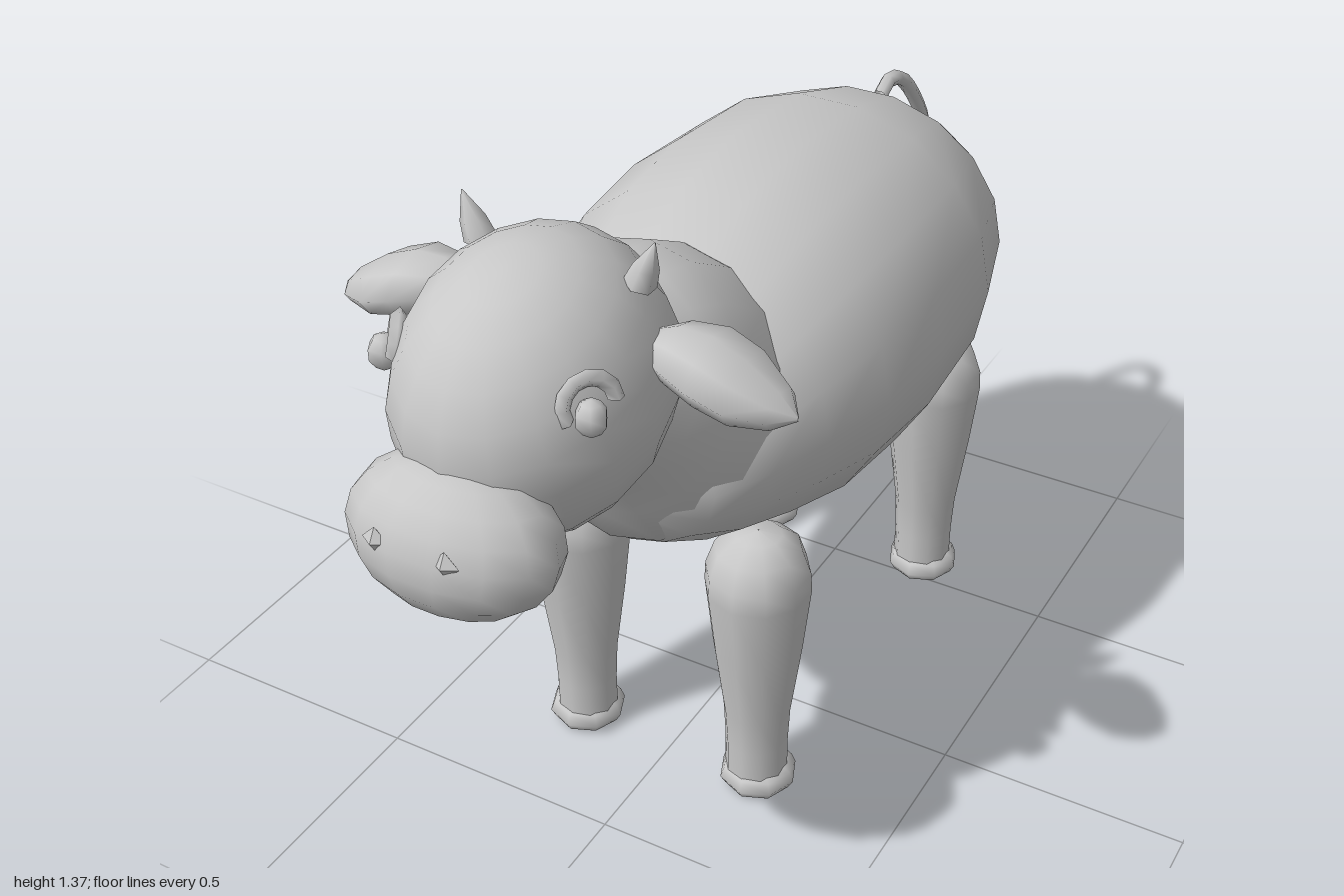
import * as THREE from 'three';

const hide = new THREE.MeshStandardMaterial({ color: 0xc8c8c8, side: THREE.DoubleSide });
hide.name = 'grey hide';

// Skin over elliptical rings [z, y, halfWidth, halfHeight, tilt], listed from back to front
function loft(rings, sides) {
  const pos = [], idx = [];
  rings.forEach(([z, y, rx, ry, tilt = 0], i) => {
    for (let j = 0; j < sides; j++) {
      const a = (j / sides) * Math.PI * 2, h = Math.sin(a) * ry;
      pos.push(Math.cos(a) * rx, y + h * Math.cos(tilt), z - h * Math.sin(tilt));
      if (i < rings.length - 1) {
        const k = (j + 1) % sides, p = i * sides, q = p + sides;
        idx.push(p + j, p + k, q + j, p + k, q + k, q + j);
      }
    }
  });
  const g = new THREE.BufferGeometry();
  g.setAttribute('position', new THREE.Float32BufferAttribute(pos, 3));
  g.setIndex(idx);
  g.computeVertexNormals();
  return g;
}

const ball = (rx, ry, rz, w = 14, h = 10) => new THREE.SphereGeometry(1, w, h).scale(rx, ry, rz);
const turned = (points, sides) =>
  new THREE.LatheGeometry(points.map(([r, y]) => new THREE.Vector2(r, y)), sides);

export function createModel() {
  const cow = new THREE.Group();
  cow.name = 'cow';
  const add = (name, geometry, x = 0, y = 0, z = 0) => {
    const m = new THREE.Mesh(geometry, hide);
    m.name = name;
    m.position.set(x, y, z);
    cow.add(m);
    return m;
  };

  // Barrel body: z, underside, back line, half width
  const barrel = [
    [-0.835, 0.815, 0.82, 0.003], [-0.825, 0.75, 0.88, 0.07], [-0.8, 0.69, 0.93, 0.13],
    [-0.73, 0.635, 1.03, 0.22], [-0.6, 0.575, 1.115, 0.305], [-0.4, 0.51, 1.18, 0.365],
    [-0.15, 0.49, 1.2, 0.38], [0.05, 0.51, 1.18, 0.365], [0.2, 0.555, 1.12, 0.32],
    [0.32, 0.6, 1.05, 0.27], [0.42, 0.66, 0.97, 0.21], [0.48, 0.75, 0.9, 0.11], [0.5, 0.82, 0.83, 0.003],
  ];
  add('body', loft(barrel.map(([z, b, t, w]) => [z, (b + t) / 2, w, (t - b) / 2]), 18), -0.005);

  // Neck rising forward out of the shoulders
  add('neck', loft([
    [0.18, 0.84, 0.25, 0.25, 0.5], [0.305, 0.905, 0.255, 0.27, 0.52],
    [0.39, 0.985, 0.235, 0.24, 0.47], [0.46, 1.04, 0.205, 0.195, 0.48], [0.56, 1.09, 0.15, 0.14, 0.48],
  ], 16));

  // Head and muzzle
  add('head', ball(0.222, 0.25, 0.27, 16, 12), 0, 1.115, 0.635).rotation.x = 0.3;
  add('muzzle', ball(0.192, 0.135, 0.125), 0, 0.97, 0.875).rotation.x = -0.2;

  const horn = turned([[0.028, 0], [0.022, 0.035], [0.001, 0.085]], 6);
  const earRings = [
    [0.17, 1.19, 0.03, 0.03], [0.22, 1.193, 0.065, 0.048], [0.28, 1.185, 0.088, 0.055],
    [0.34, 1.165, 0.085, 0.05], [0.4, 1.145, 0.05, 0.028], [0.432, 1.135, 0.003, 0.003],
  ];
  const leg = turned([
    [0.062, 0.04], [0.062, 0.12], [0.066, 0.2], [0.087, 0.36], [0.102, 0.5],
    [0.1, 0.54], [0.083, 0.59], [0.045, 0.62], [0.001, 0.627],
  ], 10);
  const hoof = turned([
    [0.001, 0.008], [0.04, 0.004], [0.068, 0.012], [0.078, 0.03], [0.07, 0.052], [0.055, 0.06],
  ], 8);
  const teat = turned([[0.001, 0], [0.012, 0.006], [0.015, 0.03], [0.012, 0.05]], 6);

  for (const [side, s] of [['left', 1], ['right', -1]]) {
    // Face details
    add(side + 'Horn', horn, s * 0.15, 1.295, 0.555).rotation.z = -s * 0.35;
    add(side + 'Ear', loft(earRings, 8).rotateY(s * Math.PI / 2), 0, 0, 0.56);
    add(side + 'Nostril', new THREE.OctahedronGeometry(0.025).scale(1, 1, 0.6), s * 0.065 - 0.005, 1, 0.982);
    add(side + 'Eye', ball(0.028, 0.032, 0.028, 6, 5), s * 0.192, 1.185, 0.77);
    const lid = add(side + 'Eyelid', new THREE.TorusGeometry(0.044, 0.014, 4, 7, Math.PI * 1.15),
      s * 0.18, 1.195, 0.755);
    lid.lookAt(s * 0.98, 1.4, 1.3);

    // Legs and udder
    for (const [end, z] of [['Front', 0.245], ['Back', -0.54]]) {
      add(side + end + 'Leg', leg, s * 0.197, 0, z);
      add(side + end + 'Hoof', hoof, s * 0.2, 0, z - 0.002);
    }
    for (const z of [-0.345, -0.43]) add(side + 'Teat', teat, s * 0.05, 0.428, z);
  }
  add('udder', ball(0.11, 0.06, 0.11, 10, 8), 0, 0.508, -0.38);

  // Tail hanging behind the rump, with a pointed tuft
  const path = new THREE.CatmullRomCurve3([
    [-0.66, 1.075], [-0.7, 1.095], [-0.76, 1.075], [-0.85, 0.985], [-0.9, 0.9], [-0.92, 0.7], [-0.962, 0.41],
  ].map(([z, y]) => new THREE.Vector3(-0.01, y, z)));
  add('tail', new THREE.TubeGeometry(path, 20, 0.016, 6));
  add('tailTuft', turned([
    [0.001, 0], [0.026, 0.012], [0.038, 0.07], [0.03, 0.11], [0.001, 0.165],
  ], 6), -0.01, 0.27, -0.962);

  return cow;
}
